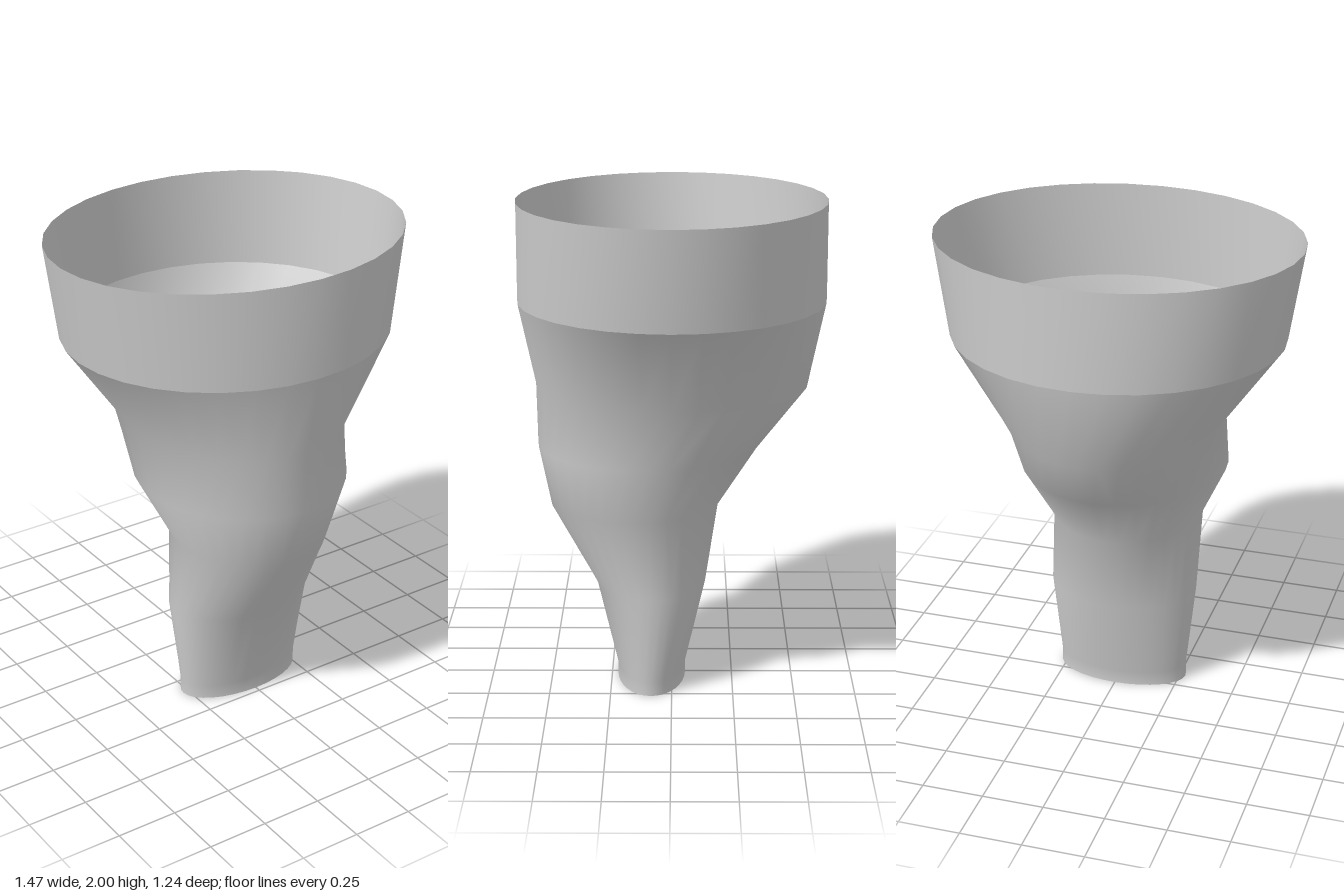
import * as THREE from 'three';

const SIDES = 32;

// Skin a stack of elliptical rings [y, halfWidth, zFront, zBack], listed bottom to top
function loft(name, rings, material) {
  const positions = [];
  const index = [];
  rings.forEach(([y, halfWidth, zFront, zBack], r) => {
    const zMid = (zFront + zBack) / 2;
    const halfDepth = (zFront - zBack) / 2;
    for (let i = 0; i < SIDES; i++) {
      const a = (i / SIDES) * Math.PI * 2;
      positions.push(halfWidth * Math.cos(a), y, zMid + halfDepth * Math.sin(a));
      if (r === 0) continue;
      const next = (i + 1) % SIDES;
      const low = (r - 1) * SIDES;
      const high = r * SIDES;
      index.push(low + i, high + i, low + next, high + i, high + next, low + next);
    }
  });
  const geometry = new THREE.BufferGeometry();
  geometry.setAttribute('position', new THREE.Float32BufferAttribute(positions, 3));
  geometry.setIndex(index);
  geometry.computeVertexNormals();
  const mesh = new THREE.Mesh(geometry, material);
  mesh.name = name;
  return mesh;
}

export function createModel() {
  const group = new THREE.Group();
  group.name = 'taperedSleeve';
  const material = new THREE.MeshStandardMaterial({ color: 0xcccccc, side: THREE.DoubleSide });

  // Smooth curved tube, from the narrow bottom opening to the shoulder
  const tubeRings = [
    [0, 0.275, 0.225, -0.055],
    [0.06, 0.275, 0.225, -0.055],
    [0.42, 0.31, 0.31, -0.14],
    [0.75, 0.31, 0.495, -0.19],
    [1.0, 0.425, 0.545, -0.35],
    [1.25, 0.425, 0.55, -0.55],
    [1.6, 0.672, 0.62, -0.62],
  ];
  group.add(loft('tube', tubeRings, material));

  // Wide open collar, meeting the tube at a sharp edge
  const collarRings = [
    [1.6, 0.672, 0.62, -0.62],
    [2, 0.735, 0.62, -0.62],
  ];
  group.add(loft('collar', collarRings, material));

  return group;
}
